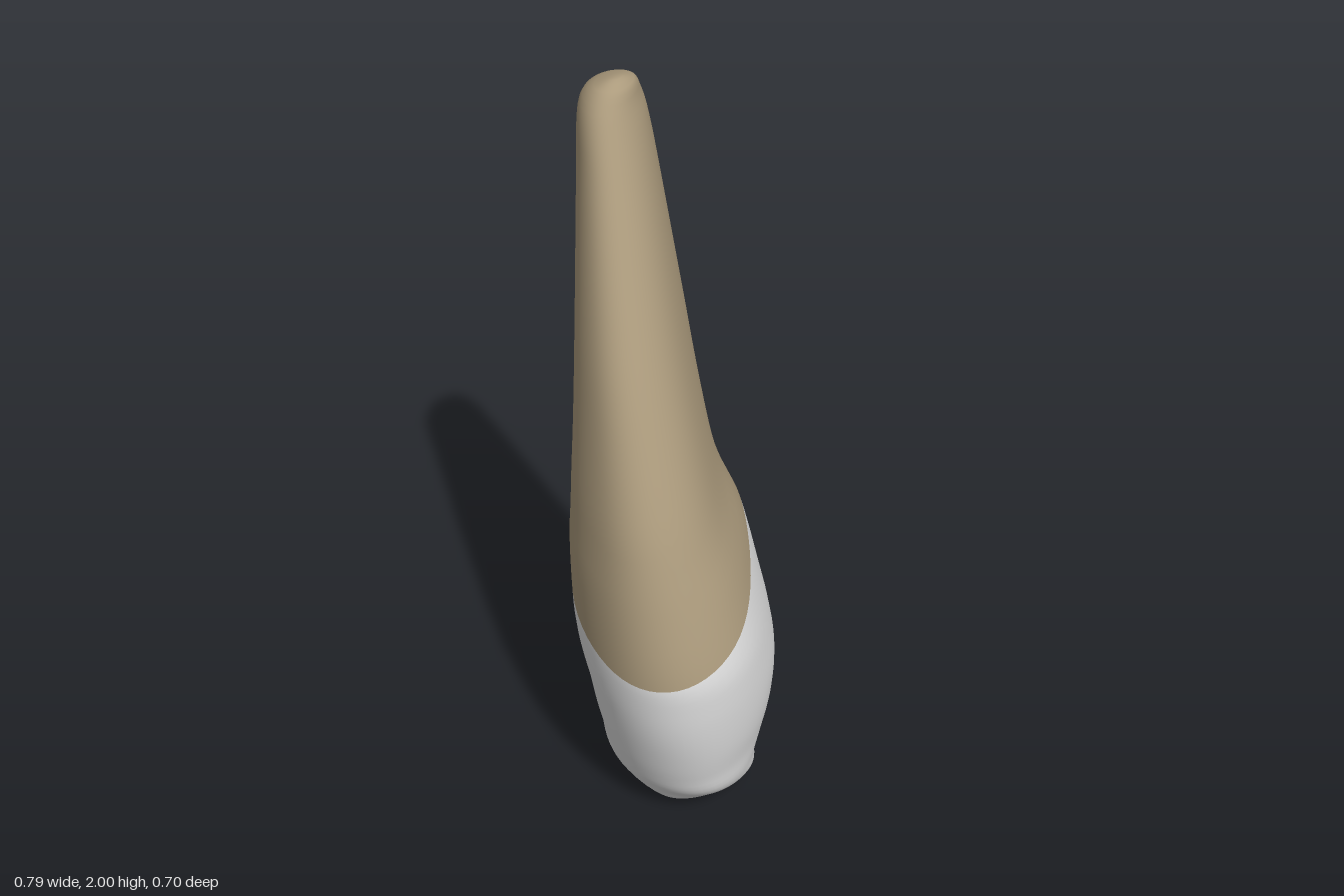
import * as THREE from 'three';

// Cross-sections: y, x min, x max, z min, z max, skew of the oval (1 = diagonal line, 0 = upright oval),
// fullness of the broad front-left face, flattening of the narrow back-right end
const SECTIONS = [
  [0.00, 0.15, 0.21, 0.03, 0.11, -0.1, 0, 0],
  [0.05, 0.09, 0.29, -0.10, 0.20, -0.15, -0.01, 0],
  [0.12, -0.19, 0.34, -0.16, 0.25, 0.18, -0.03, 0.05],
  [0.20, -0.24, 0.355, -0.225, 0.28, 0.3, -0.03, 0.1],
  [0.30, -0.28, 0.375, -0.30, 0.308, 0.36, -0.015, 0.15],
  [0.40, -0.30, 0.387, -0.345, 0.33, 0.4, 0, 0.18],
  [0.50, -0.306, 0.392, -0.338, 0.345, 0.4, 0.015, 0.22],
  [0.60, -0.306, 0.387, -0.32, 0.35, 0.41, 0.025, 0.28],
  [0.80, -0.297, 0.325, -0.285, 0.338, 0.43, 0.03, 0.4],
  [0.90, -0.285, 0.287, -0.245, 0.325, 0.46, 0.03, 0.4],
  [1.00, -0.28, 0.25, -0.216, 0.31, 0.48, 0.028, 0.35],
  [1.20, -0.29, 0.162, -0.205, 0.266, 0.51, 0.024, 0.27],
  [1.40, -0.315, 0.07, -0.205, 0.216, 0.53, 0.018, 0.18],
  [1.80, -0.387, -0.12, -0.203, 0.092, 0.53, 0.005, 0.1],
  [1.90, -0.396, -0.168, -0.19, 0.062, 0.5, 0, 0.05],
  [1.95, -0.375, -0.192, -0.165, 0.04, 0.45, 0, 0],
  [1.985, -0.31, -0.21, -0.12, 0.01, 0.3, 0, 0],
  [2.00, -0.26, -0.235, -0.07, -0.03, 0.2, 0, 0],
];

// Smooth interpolation of the section table at height y
function section(y) {
  const S = SECTIONS, last = S.length - 1;
  let i = 0;
  while (i < last - 1 && y > S[i + 1][0]) i++;
  const h = S[i + 1][0] - S[i][0], u = (y - S[i][0]) / h;
  const slope = (k, c) => {
    const a = S[Math.max(k - 1, 0)], b = S[Math.min(k + 1, last)];
    return (b[c] - a[c]) / (b[0] - a[0]);
  };
  return [1, 2, 3, 4, 5, 6, 7].map((c) => {
    const u2 = u * u, u3 = u2 * u;
    return (2 * u3 - 3 * u2 + 1) * S[i][c] + (3 * u2 - 2 * u3) * S[i + 1][c]
      + h * ((u3 - 2 * u2 + u) * slope(i, c) + (u3 - u2) * slope(i + 1, c));
  });
}

function surfacePoint(y, t) {
  const [x0, x1, z0, z1, skew, fullness, flattening] = section(y);
  const phase = Math.acos(skew);
  // Positive on the two broad faces, negative on the two narrow ends
  const face = Math.sin(t) * Math.sin(t - phase);
  const bulge = face > 0 ? fullness * face * face : 0;
  const blunt = face < 0 && Math.cos(t - phase / 2) < 0 ? flattening * face * face : 0;
  const x = (x0 + x1) / 2 + (x1 - x0) / 2 * Math.cos(t) - bulge + blunt;
  const z = (z0 + z1) / 2 + (z1 - z0) / 2 * Math.cos(t - phase) + bulge + blunt;
  return new THREE.Vector3(x, y, z);
}

// Hollow between the two cusps: steep towards the main cusp, gentle under the small one
function carve(p) {
  if (p.y > 0.5) return p;
  const along = (p.x + p.z) * 0.707 + 0.09, across = (p.x - p.z) * 0.707 - 0.11;
  const width = along > 0 ? 0.085 : 0.15;
  const depth = 0.17 * Math.exp(-((across / 0.16) ** 2) - (along / width) ** 2);
  p.y += depth * (1 - p.y / 0.5) ** 2;
  return p;
}

export function createModel() {
  const enamel = new THREE.MeshStandardMaterial({ color: 0xdedede });
  enamel.name = 'enamel';
  const dentine = new THREE.MeshStandardMaterial({ color: 0xab9a7c });
  dentine.name = 'dentine';

  const sides = 64, crownRows = 32, rootRows = 40, rows = crownRows + rootRows;
  const positions = [];
  for (let r = 0; r <= rows; r++) {
    for (let s = 0; s < sides; s++) {
      const t = (s / sides) * Math.PI * 2;
      // Slanted gum line where crown and root meet
      const g = surfacePoint(0.7, t);
      const gum = 0.715 - 0.08 * g.x - 0.34 * g.z;
      const y = r <= crownRows
        ? gum * (r / crownRows) ** 1.5
        : 2 - (2 - gum) * (1 - (r - crownRows) / rootRows) ** 1.5;
      positions.push(...carve(surfacePoint(y, t)).toArray());
    }
  }
  // Closing points at the main cusp and the root tip
  const bottom = positions.length / 3, top = bottom + 1;
  positions.push(0.18, 0, 0.07, -0.247, 2, -0.05);

  const strip = (from, to) => {
    const index = [];
    for (let r = from; r < to; r++) {
      for (let s = 0; s < sides; s++) {
        const n = (s + 1) % sides;
        const a = r * sides + s, b = r * sides + n, c = a + sides, d = b + sides;
        index.push(a, c, b, b, c, d);
      }
    }
    return index;
  };
  const crownIndex = strip(0, crownRows), rootIndex = strip(crownRows, rows);
  for (let s = 0; s < sides; s++) {
    const n = (s + 1) % sides;
    crownIndex.push(bottom, s, n);
    rootIndex.push(top, rows * sides + n, rows * sides + s);
  }

  // Shared normals keep the join between crown and root smooth
  const whole = new THREE.BufferGeometry();
  whole.setAttribute('position', new THREE.Float32BufferAttribute(positions, 3));
  whole.setIndex([...crownIndex, ...rootIndex]);
  whole.computeVertexNormals();

  const group = new THREE.Group();
  group.name = 'tooth';
  const addPart = (name, index, material) => {
    const geometry = new THREE.BufferGeometry();
    geometry.setAttribute('position', whole.getAttribute('position'));
    geometry.setAttribute('normal', whole.getAttribute('normal'));
    geometry.setIndex(index);
    const mesh = new THREE.Mesh(geometry, material);
    mesh.name = name;
    group.add(mesh);
  };
  addPart('crown', crownIndex, enamel);
  addPart('root', rootIndex, dentine);
  return group;
}
